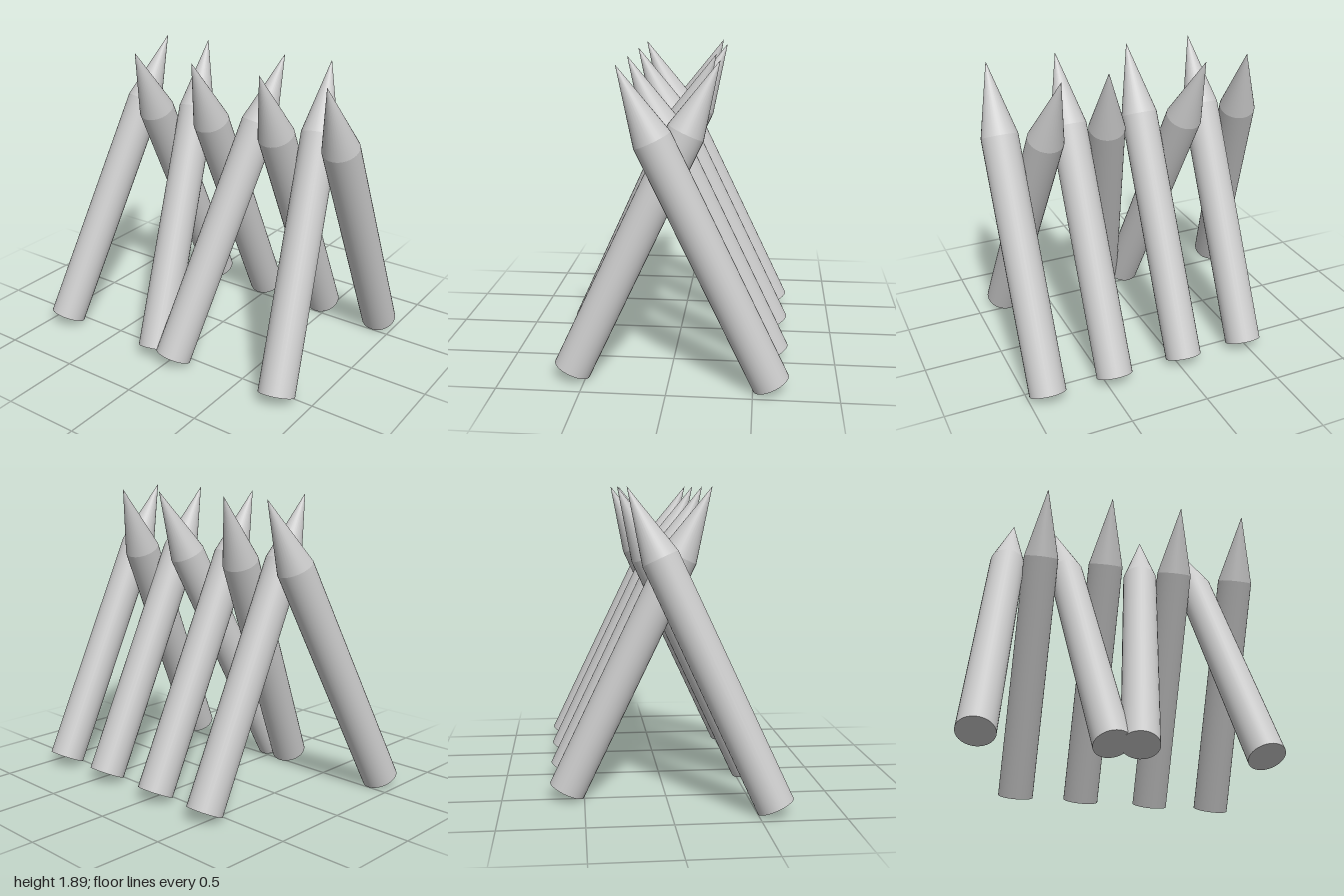
import * as THREE from 'three';

const RADIUS = 0.114, SHAFT = 1.582, POINT = 0.455, SIDES = 32;

export function createModel() {
  const model = new THREE.Group();
  model.name = 'stakeBarricade';
  const material = new THREE.MeshStandardMaterial({ color: 0xcccccc });

  // Shared shapes, both rising from the origin along +y
  const shaftGeometry = new THREE.CylinderGeometry(RADIUS, RADIUS, SHAFT, SIDES).translate(0, SHAFT / 2, 0);
  const pointGeometry = new THREE.ConeGeometry(RADIUS, POINT, SIDES, 1, true).translate(0, SHAFT + POINT / 2, 0);

  // A sharpened stake leaning from its foot centre towards its tip
  function addStake(name, foot, tip) {
    const stake = new THREE.Group();
    stake.name = name;
    const shaft = new THREE.Mesh(shaftGeometry, material);
    shaft.name = 'shaft';
    const point = new THREE.Mesh(pointGeometry, material);
    point.name = 'sharpenedPoint';
    stake.add(shaft, point);
    const start = new THREE.Vector3(...foot);
    const direction = new THREE.Vector3(...tip).sub(start).normalize();
    stake.position.copy(start);
    stake.quaternion.setFromUnitVectors(new THREE.Vector3(0, 1, 0), direction);
    model.add(stake);
  }

  // Rear row: parallel stakes leaning forward
  [-0.475, -0.036, 0.445, 0.885].forEach((x, i) =>
    addStake(`rearStake${i + 1}`, [x, 0.052, -0.605], [x, 1.89, 0.278]));

  // Front row: stakes leaning back, splayed alternately to either side
  [[-0.885, -0.62], [-0.122, -0.315], [0.035, 0.3], [0.8, 0.607]].forEach(([footX, tipX], i) => {
    const even = i % 2 === 0;
    addStake(`frontStake${i + 1}`, [footX, 0.052, even ? 0.603 : 0.582], [tipX, 1.89, even ? -0.24 : -0.28]);
  });

  return model;
}
